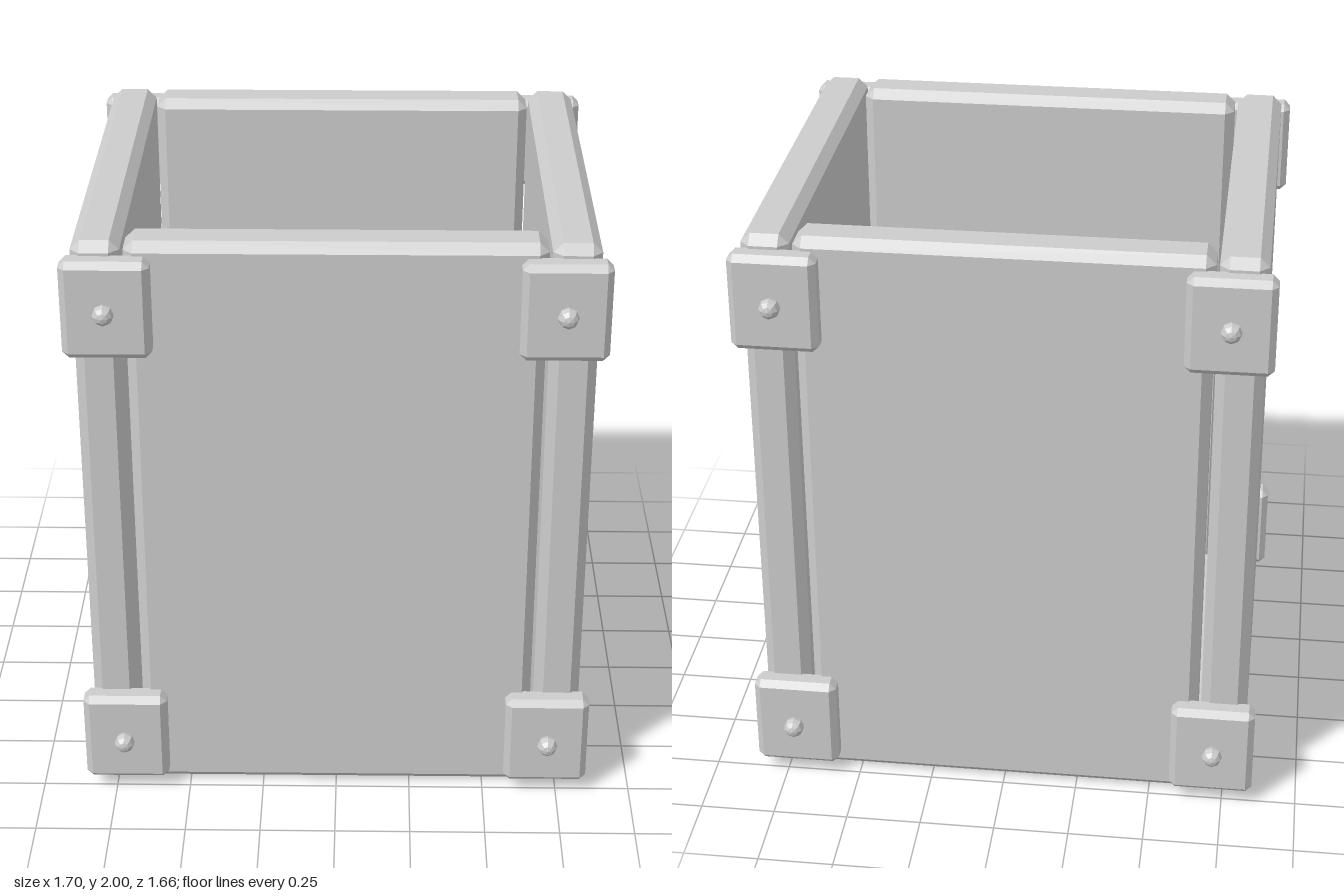
import * as THREE from 'three';
import { ConvexGeometry } from 'three/addons/geometries/ConvexGeometry.js';

// Box with every edge cut at 45 degrees
function chamferedBox(w, h, d, c) {
  const points = [];
  for (const sx of [-1, 1]) for (const sy of [-1, 1]) for (const sz of [-1, 1]) {
    const x = w / 2, y = h / 2, z = d / 2;
    points.push(
      new THREE.Vector3(sx * x, sy * (y - c), sz * (z - c)),
      new THREE.Vector3(sx * (x - c), sy * y, sz * (z - c)),
      new THREE.Vector3(sx * (x - c), sy * (y - c), sz * z)
    );
  }
  return new ConvexGeometry(points);
}

export function createModel() {
  const model = new THREE.Group();
  model.name = 'crate';
  const grey = new THREE.MeshStandardMaterial({ color: 0xcccccc, flatShading: true });
  grey.name = 'grey';

  const add = (name, geometry, x, y, z) => {
    const mesh = new THREE.Mesh(geometry, grey);
    mesh.name = name;
    mesh.position.set(x, y, z);
    model.add(mesh);
  };

  // Walls: side panels run the full depth, front and back fit between them
  const sidePanel = chamferedBox(0.153, 2, 1.436, 0.031);
  const endPanel = chamferedBox(1.312, 2, 0.155, 0.031);
  add('leftPanel', sidePanel, 0.7425, 1, 0);
  add('rightPanel', sidePanel, -0.7425, 1, 0);
  add('frontPanel', endPanel, 0, 1, 0.6405);
  add('backPanel', endPanel, 0, 1, -0.6405);

  // Floor slab
  add('floor', chamferedBox(1.636, 0.155, 1.434, 0.031), 0, 0.0775, 0);

  // Corner brackets, each with a round bolt
  const bracket = chamferedBox(0.28, 0.325, 0.09, 0.021);
  const bolt = new THREE.SphereGeometry(0.034, 8, 6).rotateX(Math.PI / 2);
  for (const sx of [-1, 1]) for (const sz of [-1, 1]) for (const y of [0.208, 1.797]) {
    add('cornerBracket', bracket, sx * 0.71, y, sz * 0.735);
    add('bolt', bolt, sx * 0.713, y, sz * 0.798);
  }
  return model;
}
